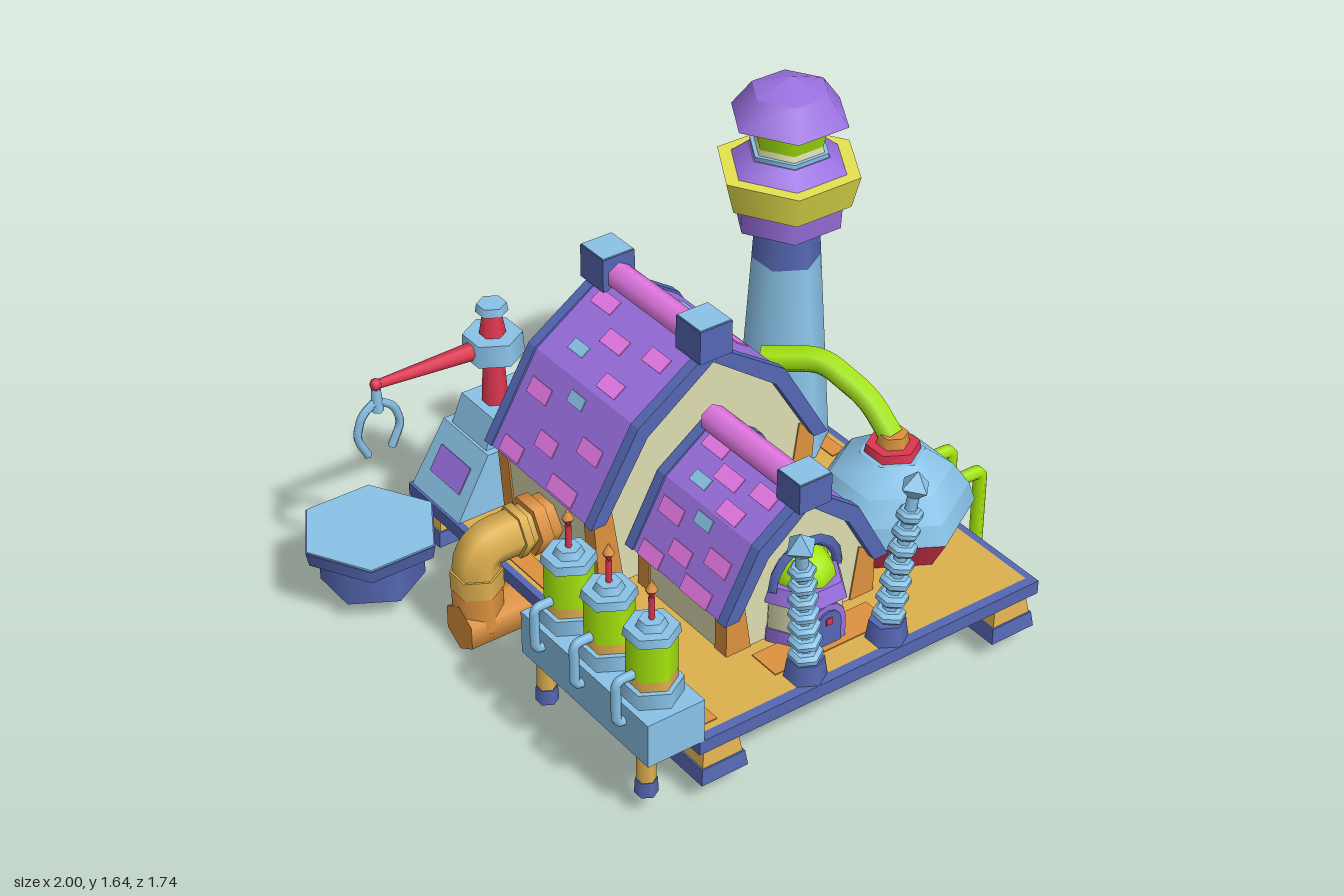
import * as THREE from 'three';

const mat = (name, color) => Object.assign(new THREE.MeshStandardMaterial({ color }), { name });
const sky = mat('light blue', 0x8ac3e8), blue = mat('blue', 0x5467b2), purple = mat('purple', 0x9a70e0),
  pink = mat('pink', 0xe87ae8), green = mat('green', 0xa6e80d), red = mat('red', 0xde3650),
  yellow = mat('yellow', 0xe6e24e), gold = mat('gold', 0xdeb04e), orange = mat('orange', 0xde9240),
  beige = mat('beige', 0xdcddb0);

function add(parent, name, geo, m, x = 0, y = 0, z = 0) {
  const mesh = new THREE.Mesh(geo, m);
  mesh.name = name;
  mesh.position.set(x, y, z);
  parent.add(mesh);
  return mesh;
}
function group(parent, name, x = 0, y = 0, z = 0) {
  const g = new THREE.Group();
  g.name = name;
  g.position.set(x, y, z);
  parent.add(g);
  return g;
}
// Box given by its limits
function box(parent, name, m, x0, x1, y0, y1, z0, z1) {
  return add(parent, name, new THREE.BoxGeometry(x1 - x0, y1 - y0, z1 - z0), m,
    (x0 + x1) / 2, (y0 + y1) / 2, (z0 + z1) / 2);
}
// Stacked rings [material, bottom radius, bottom y, top radius, top y]
function stack(parent, name, rings, turn = 0, sides = 6) {
  rings.forEach(([m, r0, y0, r1, y1]) => {
    const g = new THREE.CylinderGeometry(r1, r0, y1 - y0, sides).rotateY(turn);
    if (sides === 4) { // square posts have sharp corners
      const flat = g.toNonIndexed();
      flat.computeVertexNormals();
      add(parent, name, flat, m, 0, (y0 + y1) / 2, 0);
    } else add(parent, name, g, m, 0, (y0 + y1) / 2, 0);
  });
}
// Pipe along straight runs with rounded elbows
function pipe(parent, name, m, pts, r, bend = 0.05, sides = 6) {
  const p = pts.map(a => new THREE.Vector3(...a)), path = new THREE.CurvePath();
  let from = p[0];
  for (let i = 1; i < p.length - 1; i++) {
    const a = p[i].clone().add(p[i - 1].clone().sub(p[i]).setLength(bend));
    const b = p[i].clone().add(p[i + 1].clone().sub(p[i]).setLength(bend));
    path.add(new THREE.LineCurve3(from, a));
    path.add(new THREE.QuadraticBezierCurve3(a, p[i], b));
    from = b;
  }
  path.add(new THREE.LineCurve3(from, p[p.length - 1]));
  add(parent, name, new THREE.TubeGeometry(path, 32, r, sides), m);
  // end caps
  [[p[0], p[1]], [p[p.length - 1], p[p.length - 2]]].forEach(([e, n]) => {
    const cap = add(parent, name + 'End', new THREE.CircleGeometry(r, sides), m, e.x, e.y, e.z);
    cap.lookAt(e.clone().multiplyScalar(2).sub(n));
  });
}
function extrude(parent, name, m, pts, z0, z1) {
  const shape = new THREE.Shape(pts.map(p => new THREE.Vector2(...p)));
  return add(parent, name, new THREE.ExtrudeGeometry(shape, { depth: z1 - z0, bevelEnabled: false }), m, 0, 0, z0);
}
const mirrored = half => [...half, ...half.slice().reverse().filter(p => p[0] > 0).map(([x, y]) => [-x, y])];

// House with a bent roof; peak, knee and eave describe the right half of the roof
function house(parent, name, { peak, knee, eave, base, z0, z1, cap, ridge }) {
  const g = group(parent, name, 0.105), w = eave[0] - 0.03;
  extrude(g, 'walls', beige, mirrored([[base, 0.25], [w, eave[1] + 0.01], [knee[0] - 0.02, knee[1] - 0.03],
    [0, peak - 0.04]]), z0 + 0.03, z1 - 0.03);
  const band = (t, o) => {
    const outer = [[-eave[0] - o, eave[1]], [-knee[0] - o, knee[1] + o], [0, peak + o], [knee[0] + o, knee[1] + o], [eave[0] + o, eave[1]]];
    const inner = [[eave[0] - t, eave[1]], [knee[0] - t * 0.6, knee[1] - t * 0.8], [0, peak - t],
      [-knee[0] + t * 0.6, knee[1] - t * 0.8], [-eave[0] + t, eave[1]]];
    return [...outer, ...inner];
  };
  extrude(g, 'roof', purple, band(0.04, 0), z0, z1);
  for (const z of [z0 - 0.005, z1 - 0.035]) extrude(g, 'gableTrim', blue, band(0.05, 0.006), z, z + 0.04);
  // corner boards
  for (const s of [-1, 1]) for (const z of [z0 + 0.025, z1 - 0.085])
    extrude(g, 'cornerBoard', orange, [[base - 0.09, 0.25], [base + 0.006, 0.25], [w + 0.006, eave[1] + 0.01],
      [w - 0.06, eave[1] + 0.05]].map(([x, y]) => [s * x, y]), z, z + 0.06);
  // roof patches: segment, place along it, place along the ridge, length, material
  const patches = [[0, 0.25, 0.15, 0.11, pink], [0, 0.5, 0.45, 0.11, pink], [0, 0.4, 0.82, 0.1, pink],
    [0, 0.75, 0.25, 0.08, sky], [0, 0.85, 0.68, 0.1, pink], [1, 0.15, 0.5, 0.08, sky], [1, 0.3, 0.16, 0.11, pink],
    [1, 0.45, 0.8, 0.11, pink], [1, 0.65, 0.42, 0.1, pink], [1, 0.9, 0.15, 0.11, pink], [1, 0.9, 0.72, 0.14, pink]];
  for (const s of [-1, 1]) for (const [seg, t, v, len, m] of patches) {
    const a = seg ? knee : [0, peak], b = seg ? eave : knee;
    const p = add(g, 'roofPatch', new THREE.BoxGeometry(m === sky ? 0.042 : 0.056, 0.008, len), m,
      s * (a[0] + (b[0] - a[0]) * t), a[1] + (b[1] - a[1]) * t, z0 + 0.05 + (z1 - z0 - 0.1) * v);
    p.rotation.z = s * Math.atan2(b[1] - a[1], b[0] - a[0]);
  }
  // ridge and its end blocks
  add(g, 'ridge', new THREE.CylinderGeometry(0.048, 0.048, z1 - z0 - 0.04, 6).rotateX(Math.PI / 2), pink, 0, ridge, (z0 + z1) / 2);
  for (const [a, b] of cap.z) {
    box(g, 'ridgeBlock', blue, -0.063, 0.063, cap.y[0], cap.y[1], a, b);
    box(g, 'ridgeBlockTop', sky, -0.06, 0.06, cap.y[1], cap.y[1] + 0.004, a + 0.003, b - 0.003);
  }
  return g;
}

export function createModel() {
  const root = new THREE.Group();
  root.name = 'workshop';
  const HEX = Math.PI / 6;

  // Platform: raised rim around a thin floor, open below
  for (const [a, b, c, d] of [[-0.5, -0.475, -0.825, 0.84], [0.84, 0.865, -0.825, 0.84],
    [-0.475, 0.84, -0.825, -0.8], [-0.475, 0.84, 0.805, 0.84]]) box(root, 'platformRim', blue, a, b, 0.2, 0.25, c, d);
  box(root, 'platformFloor', gold, -0.475, 0.84, 0.225, 0.25, -0.8, 0.805);
  for (const [a, b, c, d] of [[-0.46, -0.39, -0.4, 0.78], [0.2, 0.82, -0.78, -0.74], [0.76, 0.82, -0.74, -0.1], [-0.12, 0.34, 0.6, 0.72]])
    box(root, 'floorPatch', orange, a, b, 0.25, 0.254, c, d);
  for (const x of [-0.405, 0.765]) for (const z of [-0.74, 0.755])
    stack(group(root, 'leg', x, 0, z), 'legPart', [[gold, 0.085, 0.071, 0.085, 0.075], [blue, 0.125, 0.075, 0.115, 0.13],
      [gold, 0.107, 0.13, 0.085, 0.23]], Math.PI / 4, 4);

  // Houses
  house(root, 'mainHouse', { peak: 1.04, knee: [0.285, 0.845], eave: [0.47, 0.535], base: 0.42, z0: -0.53, z1: 0.08,
    ridge: 1.055, cap: { y: [1.01, 1.13], z: [[-0.56, -0.43], [-0.03, 0.1]] } });
  const front = house(root, 'frontHouse', { peak: 0.775, knee: [0.19, 0.635], eave: [0.32, 0.4], base: 0.29, z0: 0.06, z1: 0.585,
    ridge: 0.78, cap: { y: [0.735, 0.84], z: [[0.5, 0.615]] } });

  // Porch with door, round window and arch
  const porch = group(front, 'porch', 0, 0, 0.565);
  stack(porch, 'porchWall', [[purple, 0.145, 0.25, 0.142, 0.3], [beige, 0.138, 0.3, 0.134, 0.405],
    [purple, 0.15, 0.405, 0.13, 0.46]], HEX);
  add(porch, 'porchDome', new THREE.SphereGeometry(0.105, 8, 4, 0, Math.PI * 2, 0, Math.PI / 2), green, 0, 0.455, 0);
  add(porch, 'porchArch', new THREE.TorusGeometry(0.13, 0.02, 4, 8, Math.PI), blue, 0, 0.45, 0.01);
  const arch = (r, y) => [[-r, 0.255], [r, 0.255], ...Array.from({ length: 7 }, (_, i) => [r * Math.cos(i * HEX), y + r * Math.sin(i * HEX)])];
  extrude(porch, 'doorFrame', purple, arch(0.072, 0.335), 0.121, 0.13);
  extrude(porch, 'door', blue, arch(0.05, 0.335), 0.13, 0.136);
  box(porch, 'doorWindow', red, -0.012, 0.012, 0.335, 0.36, 0.135, 0.14);

  // Watch tower
  const tower = group(root, 'tower', 0.71, 0, -0.32);
  const shaft = new THREE.CylinderGeometry(0.118, 0.19, 0.72, 6), sp = shaft.attributes.position;
  for (let i = 0; i < sp.count; i++) if (sp.getY(i) < 0) sp.setX(i, sp.getX(i) * 0.8);
  add(tower, 'towerShaft', shaft, sky, 0, 0.61, 0);
  stack(tower, 'towerNeck', [[blue, 0.118, 0.97, 0.108, 1.13]]);
  stack(tower, 'towerHead', [[purple, 0.19, 1.12, 0.195, 1.21], [yellow, 0.225, 1.21, 0.255, 1.325],
    [purple, 0.205, 1.325, 0.145, 1.375], [sky, 0.14, 1.375, 0.14, 1.39], [beige, 0.125, 1.39, 0.12, 1.41],
    [green, 0.12, 1.41, 0.14, 1.5], [purple, 0.207, 1.5, 0.135, 1.595], [purple, 0.135, 1.595, 0.005, 1.64]], HEX);

  // Round boiler with feed pipe and drains
  const boiler = group(root, 'boiler', 0.642, 0, 0.345);
  stack(boiler, 'boilerBody', [[red, 0.225, 0.25, 0.285, 0.36], [sky, 0.285, 0.36, 0.262, 0.43], [sky, 0.262, 0.43, 0.205, 0.51],
    [sky, 0.205, 0.51, 0.11, 0.58], [red, 0.095, 0.575, 0.09, 0.61], [orange, 0.055, 0.61, 0.05, 0.65]]);
  pipe(root, 'feedPipe', green, [[0.642, 0.63, 0.335], [0.625, 0.73, 0.24], [0.56, 0.82, 0.07], [0.43, 0.79, -0.08]], 0.046, 0.06);
  for (const z of [0.265, 0.415]) pipe(root, 'drainPipe', green, [[0.83, 0.4, z], [0.973, 0.4, z], [0.973, 0.06, z]], 0.024, 0.025);

  // Row of canisters on a tank
  const tank = group(root, 'canisterTank', -0.587, 0, 0);
  box(tank, 'tankBody', sky, -0.105, 0.105, 0.25, 0.41, 0.16, 0.84);
  for (const z of [0.22, 0.76]) stack(group(tank, 'tankLeg', -0.055, 0, z), 'tankLegPart',
    [[blue, 0.038, 0.075, 0.035, 0.13], [gold, 0.032, 0.13, 0.03, 0.25]]);
  for (const z of [0.28, 0.495, 0.715]) {
    const can = group(tank, 'canister', 0, 0, z);
    stack(can, 'canisterPart', [[sky, 0.098, 0.41, 0.098, 0.465], [gold, 0.08, 0.465, 0.08, 0.5], [green, 0.08, 0.5, 0.08, 0.635],
      [sky, 0.09, 0.635, 0.085, 0.665], [sky, 0.05, 0.665, 0.04, 0.69], [red, 0.01, 0.69, 0.01, 0.77],
      [red, 0.005, 0.77, 0.02, 0.795], [orange, 0.02, 0.795, 0.002, 0.83]]);
    pipe(can, 'canisterPipe', sky, [[-0.06, 0.51, 0], [-0.132, 0.51, 0], [-0.132, 0.35, 0], [-0.1, 0.35, 0]], 0.016, 0.025);
  }

  // Leaning coil pylons
  for (const s of [-1, 1]) {
    const pylon = group(root, 'pylon', 0.122 + s * 0.163, 0.25, 0.77);
    stack(pylon, 'pylonBase', [[blue, 0.07, 0, 0.06, 0.07]]);
    const coil = group(pylon, 'coil', 0, 0.06, 0);
    coil.rotation.set(s < 0 ? 0.1 : 0.03, 0, -s * 0.145);
    stack(coil, 'rod', [[sky, 0.025, 0, 0.02, 0.47]]);
    for (let i = 0; i < 7; i++) {
      const r = 0.056 - i * 0.002, y = 0.01 + i * 0.062;
      stack(coil, 'coilRing', [[sky, r * 0.75, y, r, y + 0.012], [sky, r, y + 0.012, r, y + 0.028], [sky, r, y + 0.028, r * 0.75, y + 0.04]]);
    }
    add(coil, 'coilTip', new THREE.OctahedronGeometry(0.055), sky, 0, 0.505, 0);
  }

  // Crane house: sloped block with an upper deck
  const crane = group(root, 'crane');
  const sloped = (name, x0, x1, y0, y1, z0, z1, left, right, dz) => {
    const g = new THREE.BoxGeometry(x1 - x0, y1 - y0, z1 - z0), p = g.attributes.position;
    for (let i = 0; i < p.count; i++) if (p.getY(i) > 0) {
      p.setX(i, p.getX(i) + (p.getX(i) < 0 ? left : -right));
      p.setZ(i, p.getZ(i) - Math.sign(p.getZ(i)) * dz);
    }
    g.computeVertexNormals();
    add(crane, name, g, sky, (x0 + x1) / 2, (y0 + y1) / 2, (z0 + z1) / 2);
  };
  sloped('craneHouse', -0.49, 0.19, 0.25, 0.47, -0.815, -0.525, 0.13, 0.02, 0.008);
  sloped('craneDeck', -0.35, 0.15, 0.47, 0.575, -0.77, -0.56, 0.04, 0.02, 0.005);
  const hatch = add(crane, 'craneHatch', new THREE.BoxGeometry(0.1, 0.008, 0.18), purple, -0.424, 0.362, -0.67);
  hatch.rotation.z = Math.atan2(0.22, 0.13);

  // Crane mast, arm and two-fingered claw
  stack(group(crane, 'mast', -0.24, 0, -0.667), 'mastPart', [[red, 0.045, 0.57, 0.035, 0.76], [sky, 0.105, 0.76, 0.1, 0.84],
    [red, 0.045, 0.84, 0.03, 0.93], [sky, 0.055, 0.925, 0.05, 0.955]]);
  add(crane, 'arm', new THREE.CylinderGeometry(0.015, 0.036, 0.46, 6).rotateZ(Math.PI / 2), red, -0.46, 0.802, -0.667).rotation.z = -0.03;
  const claw = group(crane, 'claw', -0.69, 0.81, -0.667);
  add(claw, 'clawJoint', new THREE.SphereGeometry(0.022, 6, 4), red);
  stack(claw, 'clawStem', [[sky, 0.022, -0.1, 0.014, 0]]);
  for (const s of [-1, 1])
    pipe(claw, 'clawFinger', sky, [[0, -0.06, 0], [s * 0.06, -0.1, 0], [s * 0.085, -0.18, 0], [s * 0.045, -0.26, 0]], 0.015, 0.03, 5);

  // Drop basin beneath the claw
  const basin = group(root, 'basin', -0.755, 0, -0.655);
  stack(basin, 'basinBody', [[blue, 0.175, 0.075, 0.175, 0.22]]);
  stack(basin, 'basinRim', [[blue, 0.235, 0.22, 0.245, 0.27], [sky, 0.24, 0.27, 0.24, 0.276]], HEX);

  // Waste pipe from the house wall down under the platform
  const waste = group(root, 'wastePipe', 0, 0, -0.235);
  const level = (name, m, x0, x1, y, r) =>
    add(waste, name, new THREE.CylinderGeometry(r, r, x1 - x0, 6).rotateX(Math.PI / 2).rotateZ(Math.PI / 2).rotateX(0), m, (x0 + x1) / 2, y, 0);
  pipe(waste, 'upperPipe', gold, [[-0.3, 0.38, 0], [-0.605, 0.38, 0], [-0.605, 0.17, 0]], 0.08, 0.08);
  stack(group(waste, 'drop', -0.605), 'dropPart', [[orange, 0.085, 0.08, 0.085, 0.22], [gold, 0.088, 0.22, 0.088, 0.29]]);
  add(waste, 'outlet', new THREE.CylinderGeometry(0.086, 0.086, 0.37, 6).rotateZ(Math.PI / 2).rotateX(Math.PI / 2), orange, -0.495, 0.086, 0);
  for (const [x, r, w, m] of [[-0.35, 0.088, 0.06, orange], [-0.39, 0.103, 0.045, orange], [-0.45, 0.092, 0.03, gold]])
    add(waste, 'pipeFlange', new THREE.CylinderGeometry(r, r, w, 6).rotateZ(Math.PI / 2), m, x, 0.38, 0);
  return root;
}
